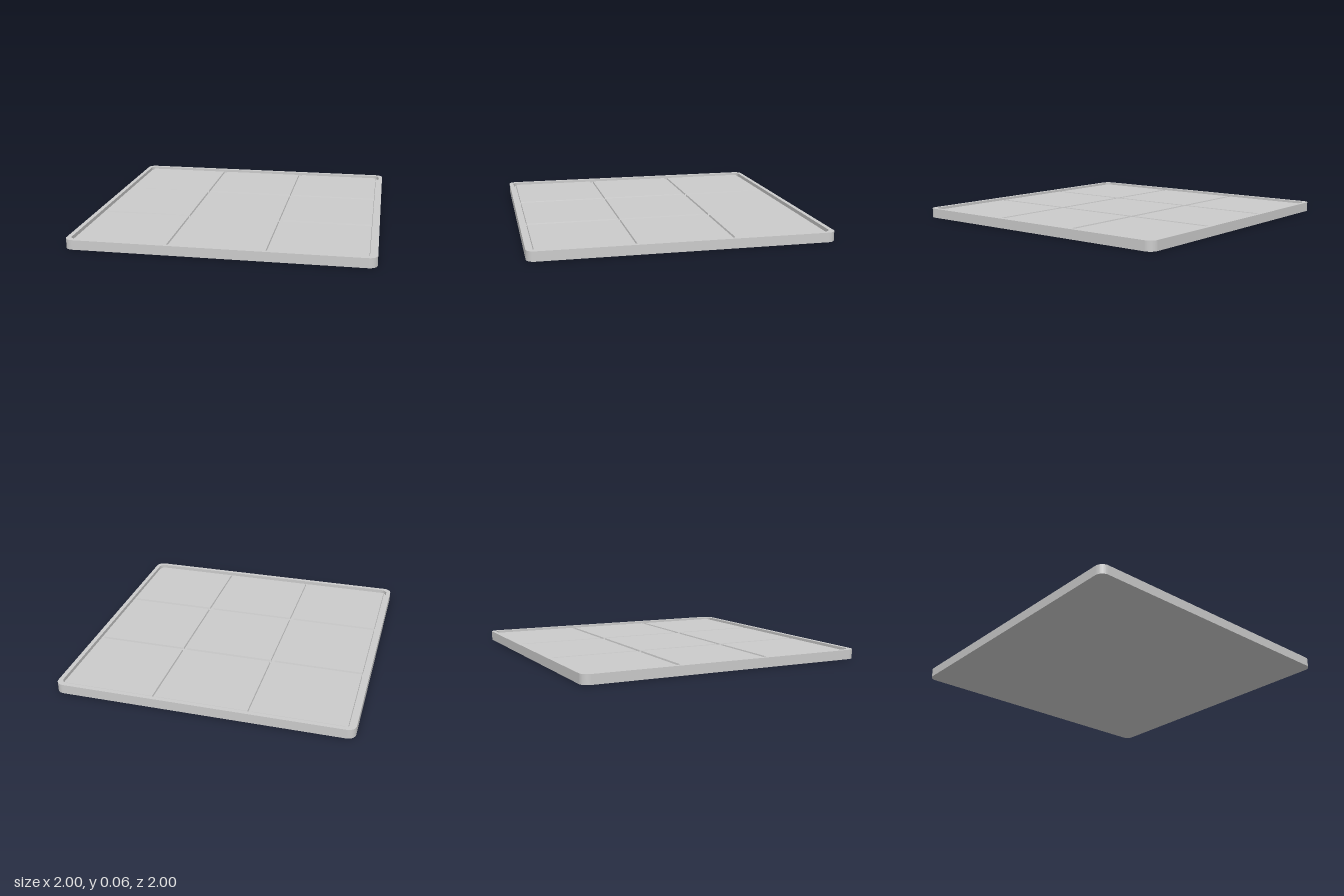
import * as THREE from 'three';

const material = new THREE.MeshStandardMaterial({ color: 0xcccccc, flatShading: true });
const HEIGHT = 0.065, FLOOR = 0.04, TILE_TOP = 0.052;

// Square outline with rounded corners, h = half side
function roundedSquare(h, r, path = new THREE.Shape()) {
  const c = h - r;
  path.moveTo(c, -h);
  path.absarc(c, -c, r, -Math.PI / 2, 0);
  path.absarc(c, c, r, 0, Math.PI / 2);
  path.absarc(-c, c, r, Math.PI / 2, Math.PI);
  path.absarc(-c, -c, r, Math.PI, Math.PI * 1.5);
  path.closePath();
  return path;
}

// Extrude an outline upwards from y0 to y1
function slab(shape, y0, y1) {
  const g = new THREE.ExtrudeGeometry(shape, { depth: y1 - y0, bevelEnabled: false, curveSegments: 5 });
  return g.rotateX(-Math.PI / 2).translate(0, y0, 0);
}

// Square tile whose sides lean in slightly towards the top
function tileGeometry(size, height, lean) {
  const g = new THREE.BoxGeometry(size, height, size).translate(0, height / 2, 0);
  const p = g.attributes.position, k = 1 - (2 * lean) / size;
  for (let i = 0; i < p.count; i++) {
    if (p.getY(i) > height / 2) p.setXYZ(i, p.getX(i) * k, p.getY(i), p.getZ(i) * k);
  }
  g.computeVertexNormals();
  return g;
}

export function createModel() {
  const group = new THREE.Group();
  const add = (name, geometry, parent = group) => {
    const mesh = new THREE.Mesh(geometry, material);
    mesh.name = name;
    parent.add(mesh);
    return mesh;
  };

  // Solid base plate; its top is the floor of the grooves
  add('base', slab(roundedSquare(1, 0.055), 0, FLOOR));

  // Raised border around the recess
  const border = roundedSquare(1, 0.055);
  border.holes.push(roundedSquare(0.97, 0.045, new THREE.Path()));
  add('rim', slab(border, FLOOR, HEIGHT));

  // Three by three panels separated by narrow grooves
  const panels = new THREE.Group();
  panels.name = 'panels';
  group.add(panels);
  const tile = tileGeometry(0.618, TILE_TOP - FLOOR, 0.003);
  for (let row = -1; row <= 1; row++) {
    for (let col = -1; col <= 1; col++) {
      add('panel', tile, panels).position.set(col * 0.641, FLOOR, row * 0.641);
    }
  }
  return group;
}
